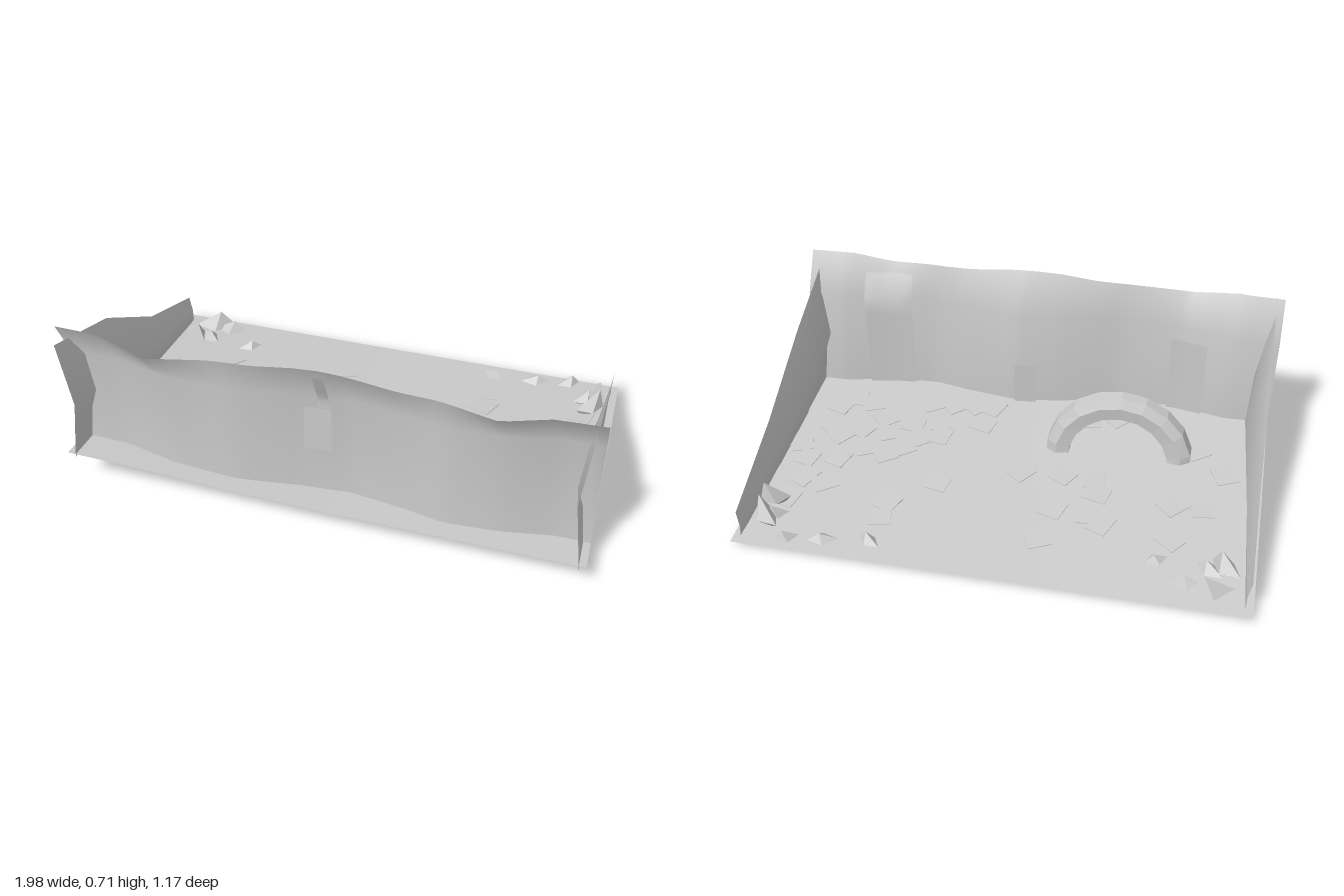
import * as THREE from 'three';

const mat = new THREE.MeshStandardMaterial({ color: 0xcccccc, side: THREE.DoubleSide });
const flat = new THREE.MeshStandardMaterial({ color: 0xcccccc, side: THREE.DoubleSide, flatShading: true });

// Surface over a (nu x nv) lattice, fn(i, j) gives each point
function grid(nu, nv, fn) {
  const pos = [], idx = [];
  for (let i = 0; i <= nu; i++) for (let j = 0; j <= nv; j++) pos.push(...fn(i, j));
  for (let i = 0; i < nu; i++) for (let j = 0; j < nv; j++) {
    const a = i * (nv + 1) + j, b = a + nv + 1;
    idx.push(a, b, a + 1, b, b + 1, a + 1);
  }
  const g = new THREE.BufferGeometry();
  g.setAttribute('position', new THREE.Float32BufferAttribute(pos, 3));
  g.setIndex(idx);
  g.computeVertexNormals();
  return g;
}

// Piecewise linear lookup in [[x, value], ...]
function lookup(table, x) {
  for (let k = 1; k < table.length; k++) {
    const [x0, v0] = table[k - 1], [x1, v1] = table[k];
    if (x <= x1 || k === table.length - 1) return v0 + (v1 - v0) * (x - x0) / (x1 - x0);
  }
}

let seed = 7;
const rand = () => (seed = (seed * 16807) % 2147483647) / 2147483647;

// Sloping floor height
const frontEdge = [[-1, 0.16], [-0.7, 0.15], [-0.3, 0.13], [0, 0.12], [1, 0.108]];
const floorY = (x, z) => {
  const back = 0.028 - 0.004 * x;
  return back + (lookup(frontEdge, x) - back) * (z + 0.59) / 1.175;
};

// Wavy wall: inner depth, crest depth and crest height along x
const innerZ = [[-1, 0.44], [-0.82, 0.44], [-0.6, 0.49], [-0.35, 0.5], [-0.1, 0.455], [0.08, 0.435],
  [0.3, 0.465], [0.45, 0.495], [0.65, 0.48], [0.85, 0.44], [1, 0.44]];
const crestZ = [[-1, 0.515], [-0.85, 0.52], [-0.64, 0.565], [-0.4, 0.535], [0, 0.52], [0.4, 0.53],
  [0.62, 0.56], [0.8, 0.54], [1, 0.53]];
const crestY = [[-1, 0.7], [-0.82, 0.7], [-0.64, 0.665], [-0.4, 0.685], [-0.25, 0.688], [-0.1, 0.706], [0, 0.71],
  [0.1, 0.706], [0.28, 0.685], [0.45, 0.682], [0.63, 0.665], [0.8, 0.698], [1, 0.698]];
const wallZ = (x, y) => {
  const a = lookup(innerZ, x), t = Math.max(0, (y - 0.54) / (lookup(crestY, x) - 0.54));
  return a + 0.012 * Math.max(0, 1 - y / 0.54) + (lookup(crestZ, x) - a) * t;
};

export function createModel() {
  const model = new THREE.Group();
  const add = (name, geo, m = flat, parent = model) => {
    const mesh = new THREE.Mesh(geo, m);
    mesh.name = name;
    parent.add(mesh);
    return mesh;
  };
  const group = (name) => {
    const g = new THREE.Group();
    g.name = name;
    model.add(g);
    return g;
  };

  add('floor', grid(16, 4, (i, j) => {
    const x = -1 + 1.98 * i / 16, z = -0.59 + 1.175 * j / 4;
    return [x, floorY(x, z), z];
  }), mat);

  // Few rows, so the lean blends softly into the upright part
  add('frontWall', grid(44, 2, (i, j) => {
    const x = -1 + 1.98 * i / 44;
    const y = [floorY(x, 0.45) - 0.014, 0.54, lookup(crestY, x)][j];
    return [x, y, wallZ(x, y)];
  }), mat);

  // Shallow panels that follow the wall: x0, x1, y0, y1, offset in z
  const panels = group('wallPanels');
  for (const [x0, x1, y0, y1, off] of [
    [0.54, 0.74, 0.1, 0.63, -0.01], [-0.72, -0.57, 0.13, 0.48, -0.012],
    [-0.01, 0.08, 0.11, 0.3, -0.014], [-0.08, 0.02, 0.31, 0.5, 0.014], [-0.03, 0.01, 0.5, 0.67, 0.01]]) {
    add('wallPanel', grid(4, 6, (i, j) => {
      const x = x0 + (x1 - x0) * i / 4, y = y0 + (y1 - y0) * j / 6;
      return [x, y, wallZ(x, y) + off];
    }), mat, panels);
  }

  // Sloping side walls, bulging inward at half height
  const zs = [0.585, 0.2, -0.17, -0.55];
  const slope = (z) => 0.09 * (z + 0.55) / 1.135;
  for (const [name, side, top, foot, crease, tops, base] of [
    ['leftWall', 1, 0.945, 0.955, [0.918, 0.885, 0.925, 0.95], [0.67, 0.5, 0.3, 0.14], slope],
    ['rightWall', -1, 0.97, 0.97, [0.932, 0.9, 0.94, 0.97], [0.67, 0.535, 0.3, 0.155],
      (z) => floorY(-0.97, z) - 0.014]]) {
    add(name, grid(3, 2, (i, j) => {
      const bottom = base(zs[i]);
      const x = [foot, crease[i], top + 0.004 * i][j];
      return [side * x, bottom + (tops[i] - bottom) * j / 2, zs[i]];
    }), mat);
  }

  // Free-standing arch: faceted section swept round, closed at both feet
  const section = [[0.3, -0.035], [0.3, 0.035], [0.26, 0.06], [0.205, 0.05], [0.205, -0.05], [0.26, -0.06]];
  const steps = 10;
  const arch = add('arch', grid(steps + 2, 6, (i, j) => {
    const k = Math.min(Math.max(i - 1, 0), steps);
    const a = -0.13 + (Math.PI + 0.26) * k / steps;
    let [r, d] = section[j % 6];
    if (i === 0 || i === steps + 2) [r, d] = [0.25, 0];
    return [r * Math.cos(a), r * Math.sin(a), d * (1 - 0.28 * Math.sin(Math.max(0, a)))];
  }));
  arch.position.set(-0.41, 0.075, 0.19);

  // Thin loose paving slabs, as x, z pairs
  const spots = [-0.67, -0.28, -0.78, -0.1, -0.66, -0.1, -0.85, 0.1, -0.4, -0.24, -0.34, -0.2,
    -0.36, -0.08, -0.34, 0, -0.17, -0.35, -0.2, -0.19, -0.21, 0, -0.04, -0.01, 0.28, -0.13, 0.45, -0.27,
    0.45, -0.36, 0.73, -0.21, 0.82, -0.19, 0.85, -0.32, 0.72, -0.06, 0.85, -0.08, 0.9, 0, 0.93, 0.01,
    0.63, 0.03, 0.54, 0, 0.48, 0.06, 0.68, 0.13, 0.76, 0.08, 0.8, 0.12, 0.56, 0.13, 0.43, 0.12,
    0.34, 0.15, 0.18, 0.25, 0.17, 0.37, 0.23, 0.37, 0.36, 0.23, 0.33, 0.35, 0.43, 0.35, 0.6, 0.22,
    0.68, 0.31, 0.82, 0.26, 0.77, 0.33, 0.48, 0.2, -0.38, 0.38, -0.27, 0.35, -0.73, 0.22];
  const paving = group('pavingSlabs');
  for (let k = 0; k < spots.length; k += 2) {
    const x = spots[k], z = spots[k + 1];
    const slab = add('pavingSlab', new THREE.BoxGeometry(0.08 + 0.03 * rand(), 0.003, 0.08 + 0.02 * rand()), flat, paving);
    slab.position.set(x, floorY(x, z) + 0.004, z);
    slab.rotation.set(-0.09, rand() * Math.PI, 0);
  }

  // Jagged rubble in the back corners: x, z, width, height
  const rubble = group('rubble');
  for (const [x, z, w, h] of [
    [-0.84, -0.51, 0.09, 0.07], [-0.76, -0.5, 0.07, 0.05], [-0.89, -0.4, 0.07, 0.07], [-0.83, -0.41, 0.06, 0.04],
    [-0.63, -0.39, 0.05, 0.03], [0.45, -0.5, 0.05, 0.04], [0.63, -0.52, 0.06, 0.03], [0.77, -0.54, 0.05, 0.04],
    [0.88, -0.46, 0.07, 0.09], [0.85, -0.43, 0.05, 0.05], [0.88, -0.36, 0.06, 0.09]]) {
    const geo = new THREE.OctahedronGeometry(1).scale(w, h, w * 0.6);
    const p = geo.attributes.position;
    for (let i = 0; i < p.count; i++) {
      p.setX(i, p.getX(i) + 0.4 * p.getY(i));
      if (p.getY(i) < 0) p.setY(i, -0.3 * h);
    }
    geo.computeVertexNormals();
    const rock = add('rock', geo, flat, rubble);
    rock.position.set(x, floorY(x, z) + h * 0.28, z);
    rock.rotation.y = (rand() - 0.5) * 1.4;
  }
  return model;
}
